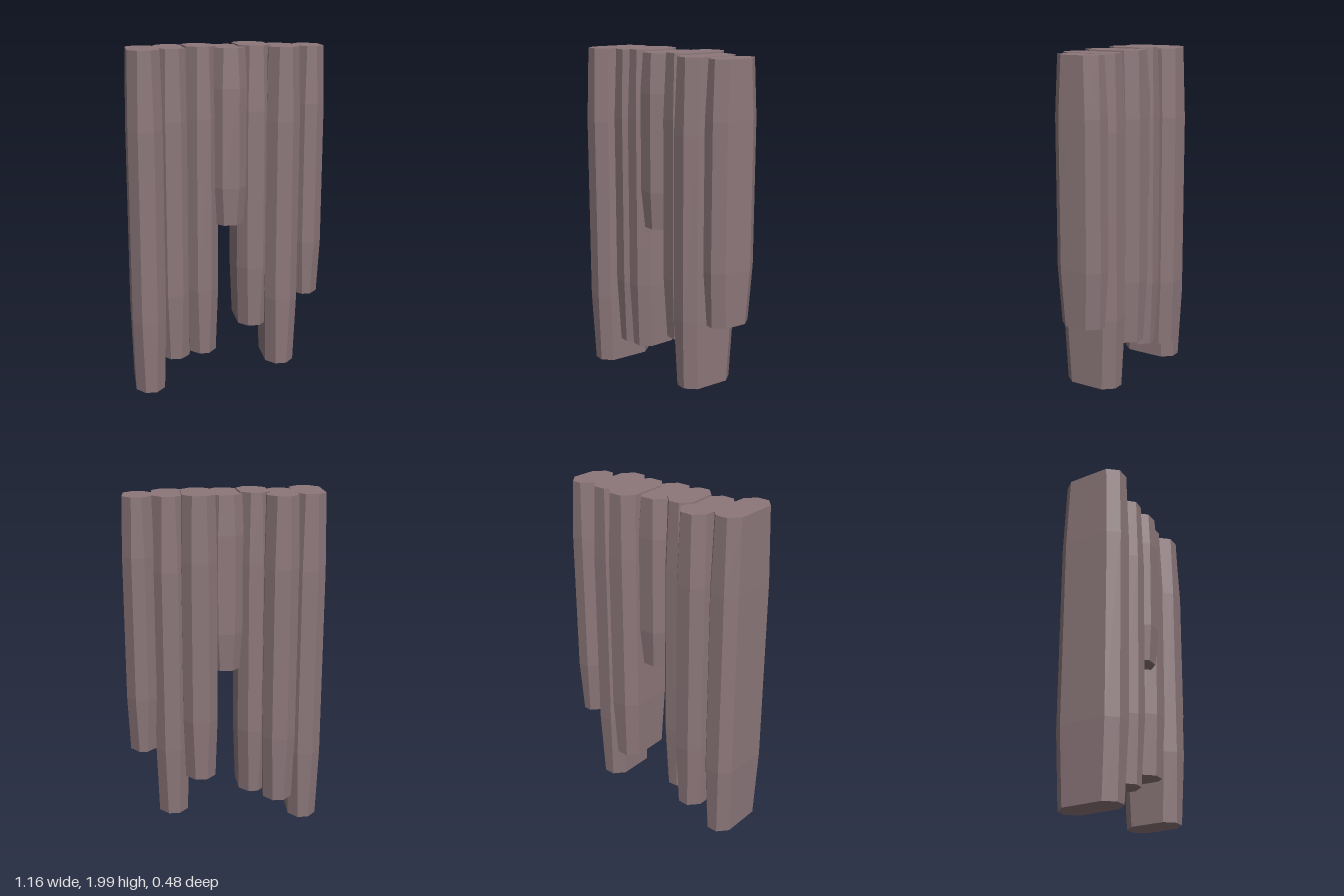
import * as THREE from 'three';

// Each column: x range, z range, bottom and top height, slight twist about its axis
const COLUMNS = [
  { x: [-0.575, -0.382], z: [-0.157, 0.237], y: [0.01, 1.99], twist: -0.04 },
  { x: [-0.41, -0.217], z: [-0.227, 0.147], y: [0.17, 1.99], twist: -0.06 },
  { x: [-0.252, -0.068], z: [-0.148, 0.163], y: [0.2, 2.0], twist: 0.03 },
  { x: [-0.1, 0.1], z: [-0.165, 0.174], y: [0.985, 1.992], twist: -0.02 },
  { x: [0.056, 0.254], z: [-0.241, 0.128], y: [0.34, 2.0], twist: -0.02 },
  { x: [0.219, 0.412], z: [-0.189, 0.173], y: [0.1, 1.992], twist: -0.03 },
  { x: [0.397, 0.573], z: [-0.187, 0.102], y: [0.51, 1.99], twist: -0.05 },
];

// Chamfered rectangle, counter-clockwise seen from above
function ring(c, y, insetX, insetZ) {
  const cx = (c.x[0] + c.x[1]) / 2, cz = (c.z[0] + c.z[1]) / 2;
  const w = (c.x[1] - c.x[0]) / 2 - insetX, d = (c.z[1] - c.z[0]) / 2 - insetZ;
  const a = w - 0.052, b = d - 0.06;
  const corners = [[w, b], [w, -b], [a, -d], [-a, -d], [-w, -b], [-w, b], [-a, d], [a, d]];
  const cos = Math.cos(c.twist), sin = Math.sin(c.twist);
  return corners.map(([px, pz]) => [cx + px * cos + pz * sin, y, cz - px * sin + pz * cos]);
}

// Eight-sided prism that narrows towards both ends
function columnGeometry(c) {
  const [y0, y1] = c.y, h = y1 - y0;
  const rings = [
    ring(c, y0, 0.012, 0.018),
    ring(c, y0 + h * 0.22, 0, 0),
    ring(c, y0 + h * 0.78, 0, 0),
    ring(c, y1, 0.008, 0.014),
  ];
  const pos = [];
  const tri = (p, q, r) => pos.push(...p, ...q, ...r);
  for (let k = 0; k < 3; k++) {
    for (let i = 0; i < 8; i++) {
      const j = (i + 1) % 8, lo = rings[k], hi = rings[k + 1];
      tri(lo[i], lo[j], hi[j]);
      tri(lo[i], hi[j], hi[i]);
    }
  }
  // End caps
  for (let i = 1; i < 7; i++) {
    tri(rings[3][0], rings[3][i], rings[3][i + 1]);
    tri(rings[0][0], rings[0][i + 1], rings[0][i]);
  }
  const g = new THREE.BufferGeometry();
  g.setAttribute('position', new THREE.Float32BufferAttribute(pos, 3));
  g.computeVertexNormals();
  return g;
}

export function createModel() {
  const group = new THREE.Group();
  group.name = 'hangingRockColumns';
  const stone = new THREE.MeshStandardMaterial({ color: 0x8c777a });
  stone.name = 'mauveStone';
  COLUMNS.forEach((c, i) => {
    const mesh = new THREE.Mesh(columnGeometry(c), stone);
    mesh.name = `rockColumn${i + 1}`;
    group.add(mesh);
  });
  return group;
}
